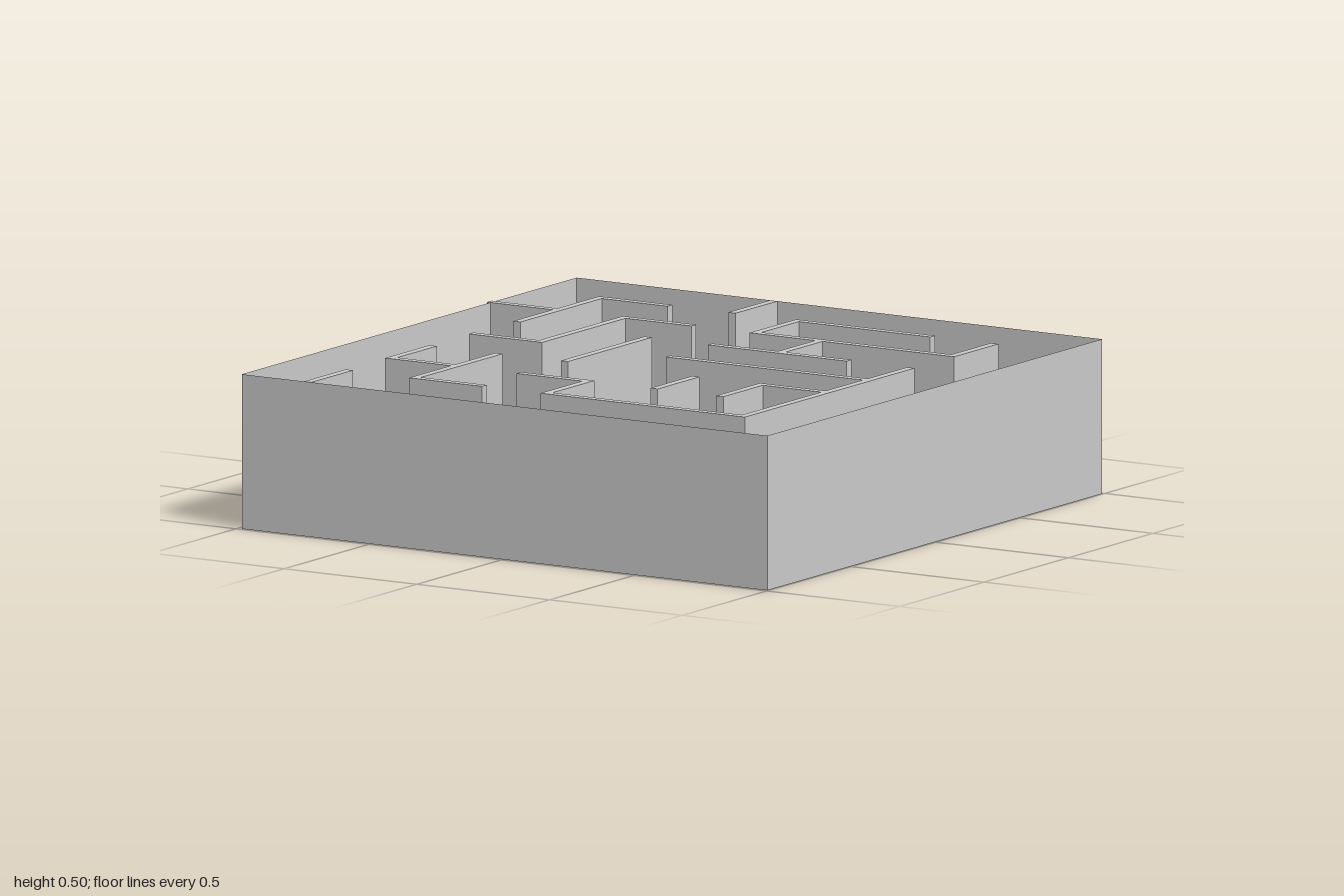
import * as THREE from 'three';

const CELL = 0.2475, CX = 0.006, HEIGHT = 0.5, THICK = 0.028;

// Inner walls in grid units from the centre (-4..4)
const ALONG_X = [ // row, from column, to column
  [-3, -3, -2], [-3, 0, 2],
  [-2, -4, -3], [-2, -2, -1], [-2, 0, 3],
  [-1, 0, 2],
  [0, -3, -2], [0, 0, 3],
  [1, 2, 3],
  [2, -3, -2], [2, -1, 0],
  [3, -2, -1], [3, 0, 3],
];
const ALONG_Z = [ // column, from row, to row
  [-3, -3, -1], [-3, 1, 2], [-3, 3, 4],
  [-2, -2, 0], [-2, 1, 3],
  [-1, -4, -3], [-1, -1, 1],
  [0, -3, -2], [0, 2, 3],
  [1, -2, -1], [1, 1, 2],
  [2, 1, 2],
  [3, -3, -2], [3, -1, 3],
];

export function createModel() {
  const group = new THREE.Group();
  group.name = 'maze';
  const solid = new THREE.MeshStandardMaterial({ color: 0xcccccc, flatShading: true });
  const sheet = new THREE.MeshStandardMaterial({ color: 0xcccccc, flatShading: true, side: THREE.DoubleSide });

  const add = (name, geometry, material, x, y, z) => {
    const mesh = new THREE.Mesh(geometry, material);
    mesh.name = name;
    mesh.position.set(x, y, z);
    group.add(mesh);
    return mesh;
  };

  // Floor and the four paper-thin outer walls
  const size = 8 * CELL;
  add('floor', new THREE.PlaneGeometry(size, size), sheet, CX, 0, 0).rotation.x = -Math.PI / 2;
  ['front', 'left', 'back', 'right'].forEach((side, k) => {
    const a = k * Math.PI / 2;
    add(side + 'OuterWall', new THREE.PlaneGeometry(size, HEIGHT), sheet,
      CX + Math.sin(a) * size / 2, HEIGHT / 2, Math.cos(a) * size / 2).rotation.y = a;
  });

  // Walls along x overlap their end posts, walls along z stop on the grid
  for (const [row, c0, c1] of ALONG_X) {
    add('crossWall', new THREE.BoxGeometry((c1 - c0) * CELL + THICK, HEIGHT, THICK), solid,
      CX + (c0 + c1) / 2 * CELL, HEIGHT / 2, row * CELL);
  }
  for (const [col, r0, r1] of ALONG_Z) {
    add('lengthWall', new THREE.BoxGeometry(THICK, HEIGHT, (r1 - r0) * CELL), solid,
      CX + col * CELL, HEIGHT / 2, (r0 + r1) / 2 * CELL);
  }

  // Small four-sided marker standing in the maze
  const markerHeight = 0.14;
  add('pyramidMarker', new THREE.ConeGeometry(0.061, markerHeight, 4), solid,
    CX, markerHeight / 2, CELL).rotation.y = Math.PI / 4;

  return group;
}
